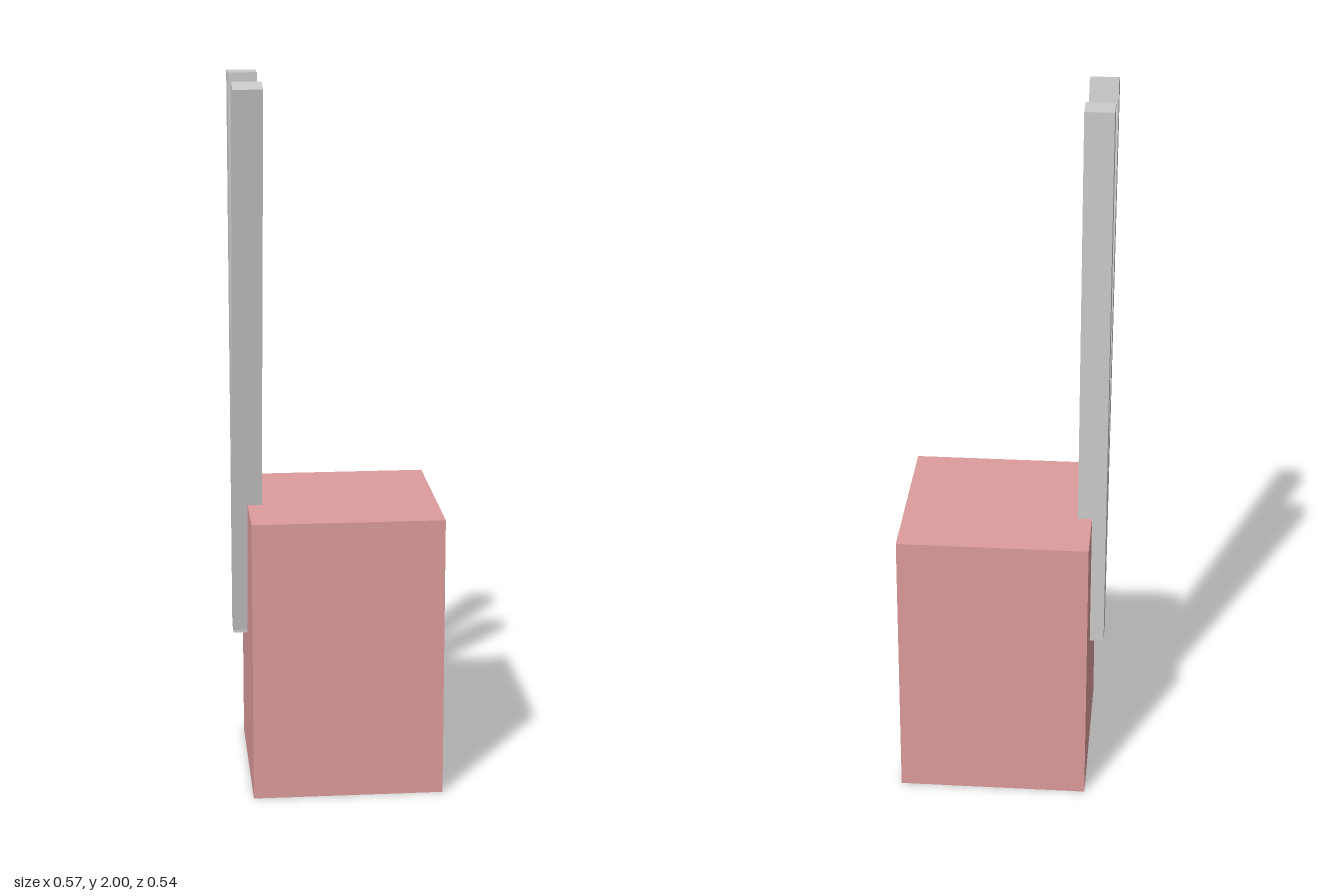
import * as THREE from 'three';

export function createModel() {
  const model = new THREE.Group();
  const pink = new THREE.MeshStandardMaterial({ color: 0xdd9c9c, flatShading: true });
  const grey = new THREE.MeshStandardMaterial({ color: 0xcccccc, flatShading: true });

  const addBox = (name, size, position, material, tilt = 0) => {
    const mesh = new THREE.Mesh(new THREE.BoxGeometry(...size), material);
    mesh.name = name;
    mesh.position.set(...position);
    mesh.rotation.x = tilt;
    model.add(mesh);
  };

  // Solid block standing on the ground
  addBox('body', [0.534, 0.8, 0.534], [0.02, 0.4, -0.006], pink);

  // Two long bars sunk halfway into the block's right side, the front one leaning forward
  const barSize = [0.08, 1.6, 0.08];
  addBox('uprightBar', barSize, [-0.247, 1.2, -0.047], grey);
  addBox('leaningBar', barSize, [-0.247, 1.2, 0.092], grey, THREE.MathUtils.degToRad(10));

  return model;
}
